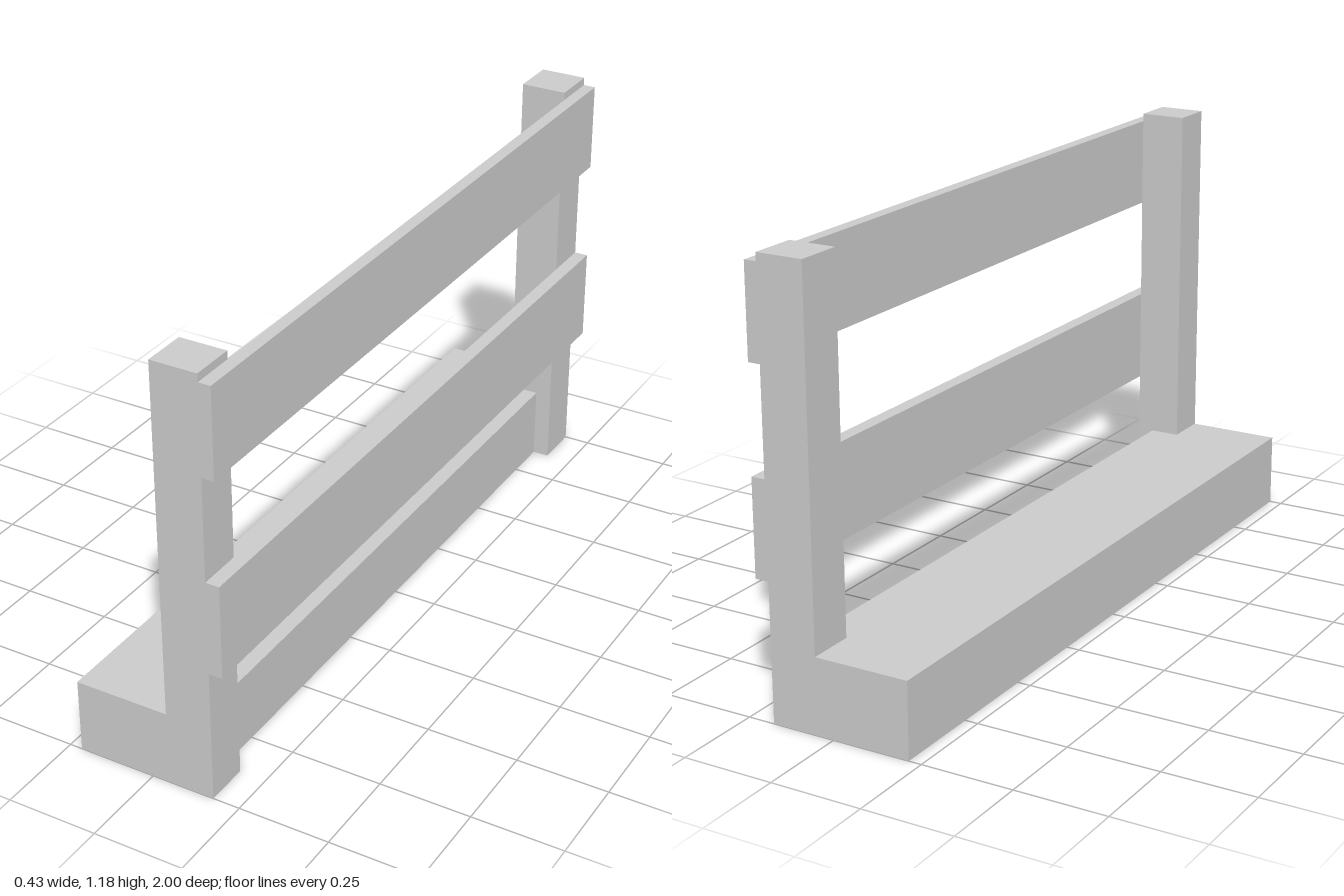
import * as THREE from 'three';

const material = new THREE.MeshStandardMaterial({ color: 0xcccccc, flatShading: true });

// Box given by its [min, max] extent on each axis
function block(name, [x0, x1], [y0, y1], [z0, z1]) {
  const mesh = new THREE.Mesh(new THREE.BoxGeometry(x1 - x0, y1 - y0, z1 - z0), material);
  mesh.position.set((x0 + x1) / 2, (y0 + y1) / 2, (z0 + z1) / 2);
  mesh.name = name;
  return mesh;
}

export function createModel() {
  const group = new THREE.Group();
  group.name = 'railing';

  const postX = [0.047, 0.176];
  const frontZ = 0.878, backZ = -0.87; // inner faces of the posts

  // Base plank, notched at both back corners for the posts (plan drawn in x, -z)
  const plan = new THREE.Shape([
    [-0.215, -1], [postX[0], -1], [postX[0], -frontZ], [0.13, -frontZ],
    [0.13, -backZ], [postX[0], -backZ], [postX[0], 1], [-0.215, 1],
  ].map(([x, y]) => new THREE.Vector2(x, y)));
  const base = new THREE.Mesh(
    new THREE.ExtrudeGeometry(plan, { depth: 0.206, bevelEnabled: false }).rotateX(-Math.PI / 2),
    material);
  base.name = 'basePlank';
  group.add(base);

  // Upright posts
  group.add(block('frontPost', postX, [0, 1.18], [frontZ, 1]));
  group.add(block('backPost', postX, [0, 1.18], [-1, backZ]));

  // Horizontal boards fixed to the outside of the posts
  group.add(block('upperBoard', [postX[1], 0.21], [0.913, 1.158], [-1, 1]));
  group.add(block('lowerBoard', [postX[1], 0.214], [0.372, 0.631], [-1, 1]));

  return group;
}
